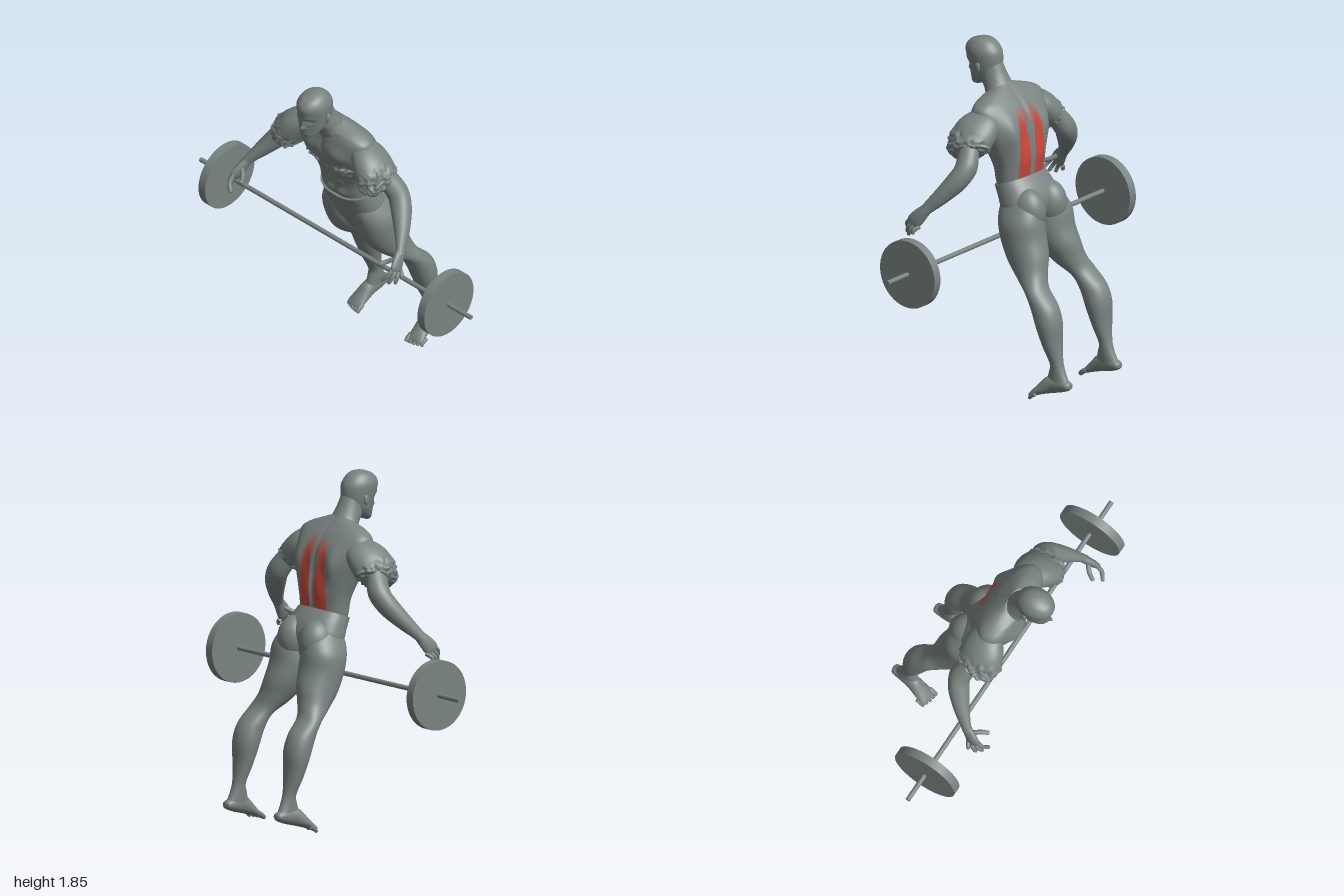
import * as THREE from 'three';

const material = (name, color) => Object.assign(new THREE.MeshStandardMaterial({ color }), { name });
const body = material('slate grey', 0x788380);
const MATS = [body, material('muscle red', 0xc8483a), material('faded red', 0xa2645c), material('pale red', 0x88756f)];

const sstep = THREE.MathUtils.smoothstep;
const bump = (x, y, cx, cy, rx, ry) => Math.exp(-(((x - cx) / rx) ** 2) - ((y - cy) / ry) ** 2);
const ragged = (p) =>
  Math.sin(Math.abs(p.x) * 95 + 2 * Math.sin(p.y * 70)) * Math.sin(p.y * 105 + 2 * Math.sin(p.z * 80)) +
  0.5 * Math.sin(p.z * 130 + p.y * 60);

// smooth interpolation through rows of numbers
function sample(rows, t) {
  const n = rows.length - 1, f = Math.min(t * n, n - 1e-6), i = Math.floor(f), u = f - i;
  const at = (k) => rows[THREE.MathUtils.clamp(k, 0, n)];
  const [a, b, c, d] = [at(i - 1), at(i), at(i + 1), at(i + 2)];
  return b.map((v, k) => v + 0.5 * u * (c[k] - a[k] +
    u * (2 * a[k] - 5 * v + 4 * c[k] - d[k] + u * (3 * (v - c[k]) + d[k] - a[k]))));
}

// closed skin over rings; each ring is centre, first half axis, second half axis
function loft(name, rings, { N = 32, steps = 32, p = 2, sculpt, pick } = {}) {
  const pos = [], faces = MATS.map(() => []), v = new THREE.Vector3(), c = new THREE.Vector3();
  const sp = (k) => Math.sign(k) * Math.abs(k) ** (2 / p);
  for (let i = 0; i <= steps; i++) {
    const r = sample(rings, i / steps);
    c.set(r[0], r[1], r[2]);
    for (let j = 0; j < N; j++) {
      const a = (j / N) * Math.PI * 2, cs = sp(Math.cos(a)), sn = sp(Math.sin(a));
      v.set(r[0] + r[3] * cs + r[6] * sn, r[1] + r[4] * cs + r[7] * sn, r[2] + r[5] * cs + r[8] * sn);
      if (sculpt) sculpt(v, c, sn, i / steps);
      pos.push(v.x, v.y, v.z);
    }
  }
  const P = (k) => new THREE.Vector3().fromArray(pos, k * 3);
  for (let i = 0; i < steps; i++) for (let j = 0; j < N; j++) {
    const a = i * N + j, b = i * N + ((j + 1) % N), d = a + N, e = b + N;
    const m = pick ? pick(P(a).add(P(e)).multiplyScalar(0.5), Math.sin(((j + 0.5) / N) * Math.PI * 2)) : 0;
    faces[m].push(a, b, d, b, e, d);
  }
  // end caps with their own vertices for a crisp rim
  for (const [row, flip] of [[0, true], [steps, false]]) {
    const start = pos.length / 3, mid = new THREE.Vector3();
    for (let j = 0; j < N; j++) {
      const q = P(row * N + j);
      mid.addScaledVector(q, 1 / N);
      pos.push(q.x, q.y, q.z);
    }
    pos.push(mid.x, mid.y, mid.z);
    for (let j = 0; j < N; j++) {
      const a = start + j, b = start + ((j + 1) % N);
      faces[0].push(...(flip ? [b, a, start + N] : [a, b, start + N]));
    }
  }
  // turn the skin outwards when it encloses a negative volume
  const index = faces.flat();
  let vol = 0;
  for (let i = 0; i < index.length; i += 3) vol += P(index[i]).dot(P(index[i + 1]).cross(P(index[i + 2])));
  if (vol < 0) for (let i = 0; i < index.length; i += 3) [index[i], index[i + 1]] = [index[i + 1], index[i]];
  const g = new THREE.BufferGeometry();
  g.setAttribute('position', new THREE.Float32BufferAttribute(pos, 3));
  g.setIndex(index);
  let s = 0;
  if (pick) faces.forEach((f, m) => { g.addGroup(s, f.length, m); s += f.length; });
  g.computeVertexNormals();
  const mesh = new THREE.Mesh(g, pick ? MATS : body);
  mesh.name = name;
  return mesh;
}

// ring from centre x, back (y, z), front (y, z) and half width
const slab = ([x, yb, zb, yf, zf, w], side = 1) =>
  [x * side, (yb + yf) / 2, (zb + zf) / 2, w, 0, 0, 0, (yf - yb) / 2, (zf - zb) / 2];

// rings square to a path of x, y, z, sideways radius, other radius
function limb(path, side = 1) {
  const pts = path.map((r) => new THREE.Vector3(r[0] * side, r[1], r[2]));
  return path.map((r, i) => {
    const t = pts[Math.min(i + 1, pts.length - 1)].clone().sub(pts[Math.max(i - 1, 0)]).normalize();
    const s = new THREE.Vector3(1, 0, 0).addScaledVector(t, -t.x).normalize();
    const u = s.clone().cross(t);
    return [...pts[i].toArray(), ...s.multiplyScalar(r[3]).toArray(), ...u.multiplyScalar(r[4]).toArray()];
  });
}

const digit = (name, pts, r, side) => loft(name, limb(
  [[...pts[0], r, r], [...pts[1], r, r], [...pts[2], r * 0.85, r * 0.85],
    [...pts[2].map((k, i) => k + (k - pts[1][i]) * 0.12), r * 0.25, r * 0.25]], side), { N: 12, steps: 12 });

function sculptTorso(v, c, sn) {
  const x = Math.abs(v.x), y = v.y;
  if (sn > 0) {
    let d = 0.022 * bump(x, y, 0.1, 1.44, 0.075, 0.06) - 0.01 * bump(x, y, 0, 1.38, 0.014, 0.16);
    for (const row of [1.13, 1.205, 1.28]) d += 0.012 * bump(x, y, 0.043, row, 0.032, 0.03);
    d += 0.02 * ragged(v) * bump(x, y, 0.12, 1.335, 0.06, 0.04);
    v.z += d * sstep(sn, 0, 0.6);
  } else {
    v.z += sstep(-sn, 0, 0.6) * (0.014 * bump(x, y, 0, 1.33, 0.014, 0.2) + 0.008 * bump(x, y, 0.05, 1.4, 0.05, 0.06)
      - 0.006 * bump(x, y, 0.06, 1.24, 0.035, 0.07) - 0.018 * bump(x, y, 0.135, 1.4, 0.04, 0.09));
  }
}

// two red bands beside the spine, fading out between the shoulder blades
function backColour(q, sn) {
  if (sn > -0.2) return 0;
  const x = Math.abs(q.x), k = Math.max(0, (q.y - 1.15) / 0.335);
  if (k < 1 && Math.abs(x - 0.061) < (0.043 - 0.014 * k) * Math.sqrt(1 - k ** 8)) return 1;
  const out = Math.hypot((x - 0.045) / 0.036, (q.y - 1.48) / 0.052);
  return out < 0.75 ? 2 : out < 1.15 ? 3 : 0;
}

function sculptHead(v, c, sn) {
  if (sn < 0.2) return;
  const x = Math.abs(v.x), y = v.y, d = (a, b, rx, ry) => bump(x, y, a, b, rx, ry);
  v.z += 0.024 * d(0, 1.662, 0.014, 0.016) + 0.012 * d(0, 1.69, 0.011, 0.025) - 0.014 * d(0.033, 1.71, 0.018, 0.013)
    + 0.006 * d(0.03, 1.735, 0.03, 0.01) + 0.008 * d(0, 1.632, 0.022, 0.005) + 0.008 * d(0, 1.619, 0.019, 0.005)
    - 0.005 * d(0, 1.6255, 0.025, 0.003);
}

function ellipsoid(name, x, y, z, rx, ry, rz) {
  const m = new THREE.Mesh(new THREE.SphereGeometry(1, 32, 20), body);
  m.position.set(x, y, z);
  m.scale.set(rx, ry, rz);
  m.name = name;
  return m;
}

function rod(name, radius, length, x) {
  const m = new THREE.Mesh(new THREE.CylinderGeometry(radius, radius, length, 64), body);
  m.rotation.z = Math.PI / 2;
  m.position.set(x, 0.789, 0.165);
  m.name = name;
  return m;
}

export function createModel() {
  const g = new THREE.Group();
  g.name = 'weightlifter';

  // trunk, neck and head
  g.add(loft('torso', [[0, 1.13, -0.005, 1.06, 0.155, 0.152], [0, 1.19, -0.008, 1.12, 0.172, 0.157],
    [0, 1.26, -0.012, 1.2, 0.185, 0.168], [0, 1.34, -0.007, 1.29, 0.22, 0.195], [0, 1.42, 0.002, 1.37, 0.255, 0.225],
    [0, 1.49, 0.03, 1.45, 0.275, 0.245], [0, 1.555, 0.08, 1.525, 0.272, 0.25], [0, 1.595, 0.12, 1.57, 0.262, 0.185],
    [0, 1.635, 0.165, 1.585, 0.26, 0.08]].map((r) => slab(r)),
  { N: 240, steps: 112, p: 2.4, sculpt: sculptTorso, pick: backColour }));
  g.add(loft('neck', [[0, 1.55, 0.105, 1.52, 0.265, 0.14], [0, 1.62, 0.155, 1.575, 0.293, 0.085],
    [0, 1.68, 0.192, 1.62, 0.325, 0.069], [0, 1.74, 0.22, 1.66, 0.35, 0.062]].map((r) => slab(r))));
  g.add(loft('head', [[0, 1.6, 0.33, 1.585, 0.38, 0.018], [0, 1.63, 0.28, 1.595, 0.4, 0.043],
    [0, 1.67, 0.235, 1.635, 0.405, 0.064], [0, 1.7, 0.222, 1.68, 0.412, 0.073], [0, 1.74, 0.217, 1.73, 0.425, 0.08],
    [0, 1.79, 0.223, 1.79, 0.438, 0.083], [0, 1.83, 0.25, 1.83, 0.415, 0.066], [0, 1.852, 0.282, 1.852, 0.37, 0.04],
    [0, 1.86, 0.31, 1.86, 0.335, 0.006]].map((r) => slab(r)), { N: 80, steps: 64, sculpt: sculptHead }));
  g.add(loft('pelvis', [[0, 1.163, -0.014, 1.09, 0.18, 0.163], [0, 1.1, -0.07, 1.04, 0.155, 0.176],
    [0, 1.03, -0.1, 0.97, 0.125, 0.183], [0, 0.95, -0.09, 0.89, 0.09, 0.15],
    [0, 0.85, -0.07, 0.79, 0.03, 0.05]].map((r) => slab(r)), { N: 48, p: 2.3 }));

  for (const s of [1, -1]) {
    const side = s > 0 ? 'left' : 'right';
    g.add(ellipsoid(side + 'Ear', s * 0.082, 1.71, 0.308, 0.01, 0.028, 0.016));
    g.add(ellipsoid(side + 'Eye', s * 0.033, 1.71, 0.385, 0.012, 0.009, 0.012));
    g.add(ellipsoid(side + 'Glute', s * 0.088, 0.985, -0.045, 0.09, 0.125, 0.103));

    // leg
    g.add(loft(side + 'Leg', [[0.1, 1.09, -0.04, 1.05, 0.09, 0.05], [0.108, 1.02, -0.115, 0.98, 0.112, 0.088],
      [0.118, 0.95, -0.148, 0.9, 0.1, 0.114], [0.118, 0.86, -0.165, 0.81, 0.075, 0.117],
      [0.132, 0.77, -0.197, 0.72, 0.025, 0.104], [0.158, 0.69, -0.214, 0.64, -0.06, 0.086],
      [0.192, 0.62, -0.245, 0.575, -0.15, 0.077], [0.203, 0.54, -0.323, 0.5, -0.192, 0.077],
      [0.205, 0.45, -0.357, 0.41, -0.228, 0.077], [0.205, 0.34, -0.362, 0.31, -0.268, 0.06],
      [0.203, 0.24, -0.375, 0.22, -0.305, 0.037], [0.203, 0.175, -0.397, 0.17, -0.295, 0.034],
      [0.206, 0.115, -0.43, 0.12, -0.28, 0.034]].map((r) => slab(r, s)), { N: 40, steps: 72, p: 2.1 }));

    // foot and toes
    g.add(loft(side + 'Foot', limb([[0.205, 0.112, -0.438, 0.012, 0.01], [0.205, 0.112, -0.425, 0.029, 0.024],
      [0.207, 0.11, -0.37, 0.035, 0.042], [0.212, 0.1, -0.31, 0.038, 0.048], [0.219, 0.065, -0.255, 0.046, 0.031],
      [0.224, 0.036, -0.212, 0.05, 0.018], [0.225, 0.027, -0.198, 0.044, 0.01]], s)));
    for (let i = 0; i < 5; i++) {
      const x = 0.182 + i * 0.022, z = -0.183 - i * i * 0.0015, r = i ? 0.0105 : 0.014;
      g.add(digit(side + 'Toe', [[x, 0.043, z - 0.04], [x, 0.03, z - 0.017], [x, 0.014, z]], r, s));
    }

    // upper arm swelling out to a ragged lower edge
    g.add(loft(side + 'UpperArm', limb([[0.15, 1.5, 0.15, 0.045, 0.06], [0.21, 1.472, 0.155, 0.07, 0.1],
      [0.262, 1.432, 0.165, 0.085, 0.12], [0.302, 1.388, 0.175, 0.09, 0.122], [0.33, 1.355, 0.172, 0.088, 0.113],
      [0.35, 1.332, 0.162, 0.072, 0.09], [0.362, 1.318, 0.155, 0.03, 0.035]], s),
    { N: 96, steps: 64, sculpt: (v, c, sn, t) => {
      const w = sstep(t, 0.38, 0.65);
      v.sub(c).multiplyScalar(1 + 0.11 * w * ragged(v.clone().add(c))).add(c);
    } }));
    g.add(loft(side + 'Forearm', limb([[0.35, 1.37, 0.145, 0.05, 0.06], [0.405, 1.285, 0.115, 0.06, 0.06],
      [0.452, 1.22, 0.135, 0.058, 0.057], [0.512, 1.14, 0.19, 0.043, 0.046], [0.562, 1.07, 0.248, 0.025, 0.033],
      [0.578, 1.04, 0.272, 0.023, 0.031]], s)));

    // hand
    g.add(loft(side + 'Palm', limb([[0.565, 1.065, 0.252, 0.022, 0.029], [0.582, 1.02, 0.29, 0.022, 0.04],
      [0.594, 0.985, 0.318, 0.018, 0.043], [0.6, 0.97, 0.33, 0.01, 0.032]], s), { N: 24, steps: 16 }));
    [[0.56, 0.93, 0.392], [0.588, 0.915, 0.37], [0.61, 0.91, 0.343], [0.622, 0.925, 0.305]].forEach((tip, i) => {
      const root = [0.59, 1.0 - i * 0.013, 0.338 - i * 0.018];
      const knuckle = [(root[0] + tip[0]) / 2 + 0.012, (root[1] + tip[1]) / 2, (root[2] + tip[2]) / 2 + 0.006];
      g.add(digit(side + 'Finger', [root, knuckle, tip], 0.0115, s));
    });
    g.add(digit(side + 'Thumb', [[0.575, 1.03, 0.29], [0.535, 1.005, 0.325], [0.513, 0.995, 0.36]], 0.013, s));

    g.add(rod(side + 'WeightPlate', 0.188, 0.05, s * 0.81));
  }
  g.add(rod('bar', 0.013, 2, 0));
  return g;
}
